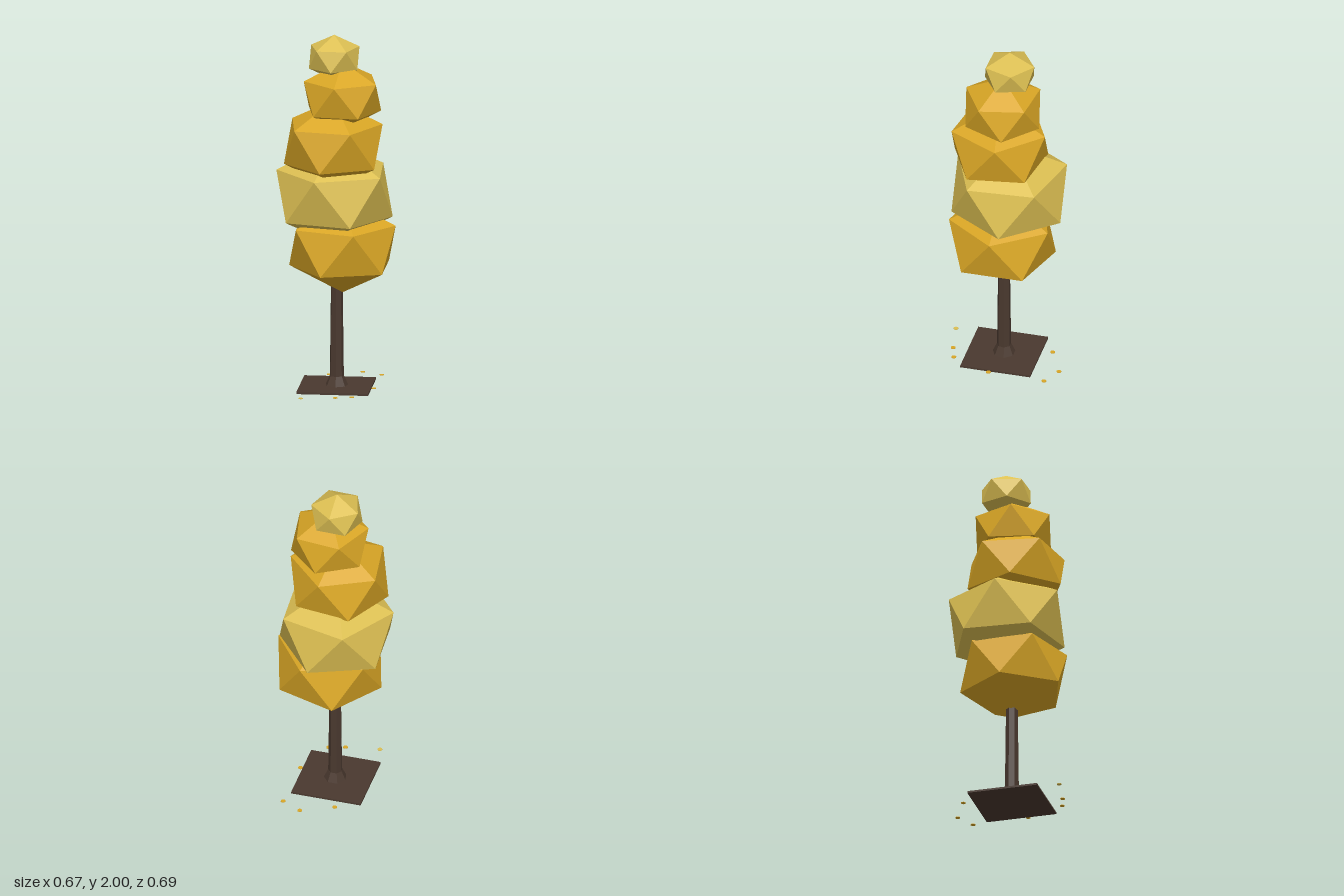
import * as THREE from 'three';

const material = (name, color) => {
  const m = new THREE.MeshStandardMaterial({ color });
  m.name = name;
  return m;
};

// Split shared corners so that every face gets its own flat normal
const faceted = (geometry) => {
  const g = geometry.index ? geometry.toNonIndexed() : geometry;
  g.computeVertexNormals();
  return g;
};

export function createModel() {
  const tree = new THREE.Group();
  tree.name = 'autumnTree';

  const gold = material('goldFoliage', 0xd9a625);
  const pale = material('paleFoliage', 0xdcbf52);
  const bark = material('darkBark', 0x4a392f);

  const add = (name, geometry, mat, x, y, z) => {
    const mesh = new THREE.Mesh(geometry, mat);
    mesh.name = name;
    mesh.position.set(x, y, z);
    tree.add(mesh);
  };

  // Ground plate
  add('groundPlate', new THREE.BoxGeometry(0.4, 0.011, 0.4), bark, 0, 0.0055, 0.01);

  // Trunk: flared foot and slender tapering shaft
  const sides = 7;
  add('trunkFoot', faceted(new THREE.CylinderGeometry(0.04, 0.065, 0.055, sides)), bark, 0.003, 0.0365, 0.01);
  add('trunkShaft', faceted(new THREE.CylinderGeometry(0.033, 0.04, 0.57, sides)), bark, 0.003, 0.345, 0.01);

  // Foliage tiers: squashed icosahedra standing on a corner
  // [x, y, z, radius, half height, turn in degrees, material]
  const tiers = [
    [0.035, 0.807, 0.011, 0.332, 0.268, 0, gold],
    [-0.012, 1.098, -0.016, 0.361, 0.291, 32.3, pale],
    [-0.013, 1.391, 0.038, 0.306, 0.249, -8.2, gold],
    [0.035, 1.659, 0.009, 0.241, 0.196, 24.2, gold],
    [-0.014, 1.871, -0.018, 0.159, 0.129, -16.4, pale],
  ];
  const golden = (1 + Math.sqrt(5)) / 2;
  tiers.forEach(([x, y, z, r, h, turn, mat], i) => {
    const g = new THREE.IcosahedronGeometry(1, 0);
    g.rotateZ(-Math.atan(1 / golden)); // one corner points straight up
    g.rotateY(-THREE.MathUtils.degToRad(turn));
    g.scale(r, h, r);
    add(`foliageTier${i + 1}`, faceted(g), mat, x, y, z);
  });

  // Fallen leaves scattered around the plate
  const leaves = [
    [0.11, -0.332, gold], [0.222, -0.275, gold], [-0.068, -0.25, gold],
    [-0.162, 0.328, pale], [0.027, 0.295, gold], [0.116, 0.268, gold],
    [0.214, 0.045, gold],
  ];
  const leafShape = new THREE.CylinderGeometry(0.0135, 0.0135, 0.003, 16);
  leaves.forEach(([x, z, mat], i) => add(`fallenLeaf${i + 1}`, leafShape, mat, x, 0.005, z));

  return tree;
}
